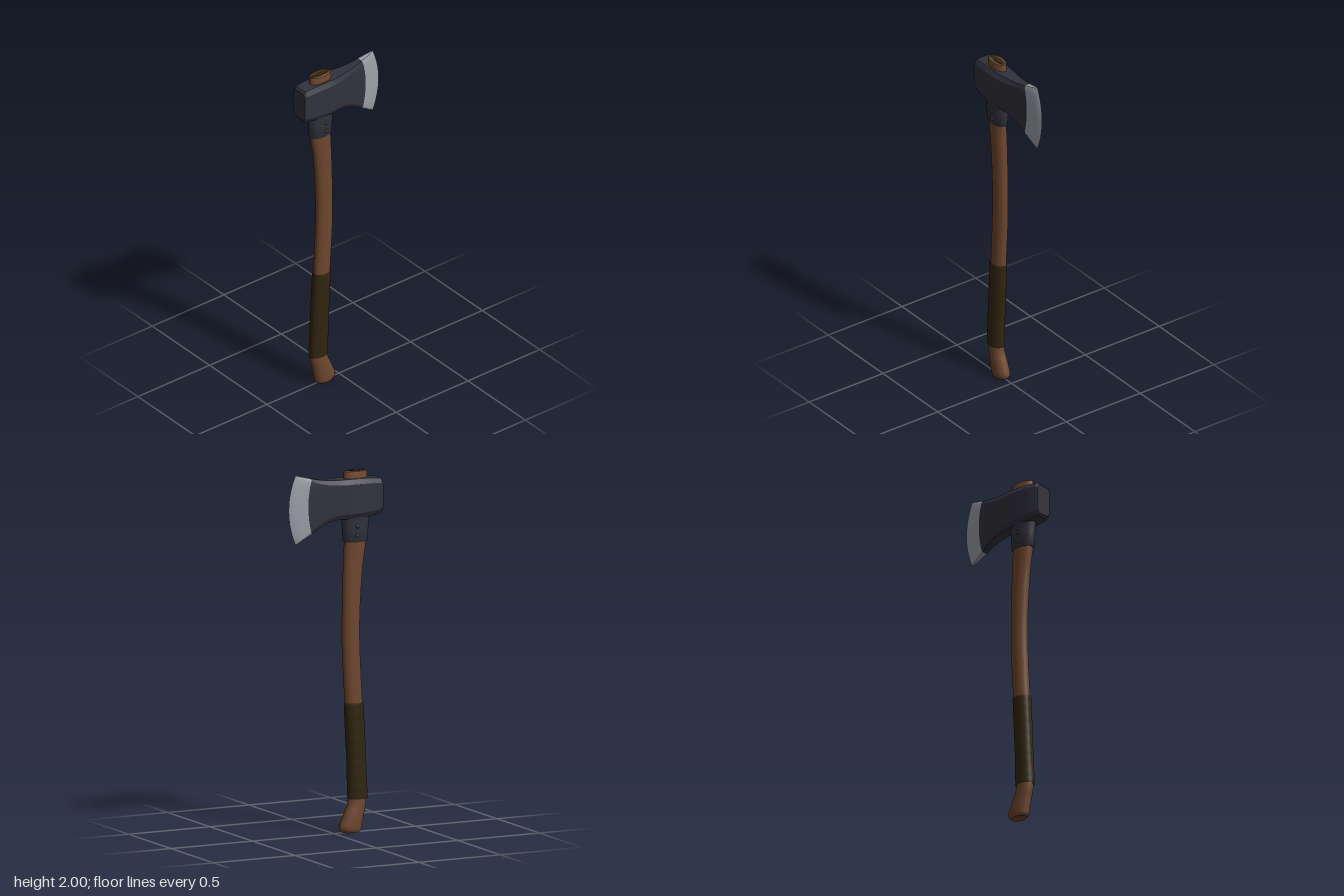
import * as THREE from 'three';
import { toCreasedNormals } from 'three/addons/utils/BufferGeometryUtils.js';

const mat = (name, color, side = THREE.FrontSide) => {
  const m = new THREE.MeshStandardMaterial({ color, side });
  m.name = name;
  return m;
};

// Skin a list of closed rings, optionally capping the ends.
function loft(rings, { start = true, end = true, crease = 0.6 } = {}) {
  const pos = [];
  const tri = (...pts) => pts.forEach((p) => pos.push(p.x, p.y, p.z));
  const n = rings[0].length;
  for (let i = 0; i < rings.length - 1; i++) {
    for (let j = 0; j < n; j++) {
      const k = (j + 1) % n;
      const a = rings[i][j], b = rings[i][k], c = rings[i + 1][k], d = rings[i + 1][j];
      tri(a, b, c);
      tri(a, c, d);
    }
  }
  const cap = (ring, flip) => {
    const mid = new THREE.Vector3();
    ring.forEach((p) => mid.addScaledVector(p, 1 / n));
    ring.forEach((p, j) => {
      const q = ring[(j + 1) % n];
      if (flip) tri(mid, q, p); else tri(mid, p, q);
    });
  };
  if (start) cap(rings[0], true);
  if (end) cap(rings[rings.length - 1], false);
  const g = new THREE.BufferGeometry();
  g.setAttribute('position', new THREE.Float32BufferAttribute(pos, 3));
  return toCreasedNormals(g, crease);
}

// Horizontal oval ring.
const oval = (y, zc, rz, rx, seg = 28) => Array.from({ length: seg }, (_, j) => {
  const a = (j / seg) * Math.PI * 2;
  return new THREE.Vector3(Math.cos(a) * rx, y, zc - Math.sin(a) * rz);
});

// Oval shaft through stations [y, back z, front z, half width].
function shaft(stations, steps, swell = () => 1) {
  const path = new THREE.CatmullRomCurve3(
    stations.map(([y, b, f]) => new THREE.Vector3(0, y, (b + f) / 2)), false, 'catmullrom');
  const size = new THREE.CatmullRomCurve3(
    stations.map(([, b, f, w]) => new THREE.Vector3(w, 0, (f - b) / 2)), false, 'catmullrom');
  const rings = [];
  for (let i = 0; i <= steps; i++) {
    const t = i / steps, p = path.getPoint(t), s = size.getPoint(t), k = swell(t);
    rings.push(oval(p.y, p.z, s.z * k, s.x * k));
  }
  return loft(rings);
}

// Chamfered head section; the bulge bows it forward into a curved bit.
function headRing([z, w, top, bot, bulge, ch]) {
  const mid = (top + bot) / 2, half = (top - bot) / 2, steps = 10;
  const pt = (x, y) => new THREE.Vector3(x, y, z - bulge * (1 - ((y - mid) / half) ** 2));
  const side = [pt(-w * 0.74, bot)];
  for (let i = 0; i <= steps; i++) {
    side.push(pt(-w, THREE.MathUtils.lerp(bot + ch, top - ch, i / steps)));
  }
  side.push(pt(-w * 0.74, top));
  const other = side.map((p) => new THREE.Vector3(-p.x, p.y, p.z)).reverse();
  return [...side, ...other];
}

export function createModel() {
  const wood = mat('wood', 0x6e472e);
  const steel = mat('dark steel', 0x31323c);
  const edge = mat('bare steel', 0x9da2aa);
  const wrap = mat('dark wrap', 0x31250f);

  const axe = new THREE.Group();
  axe.name = 'axe';
  const add = (name, geometry, material) => {
    const m = new THREE.Mesh(geometry, material);
    m.name = name;
    axe.add(m);
    return m;
  };

  // Curved handle with a flared knob
  add('handle', shaft([
    [0, 0.055, 0.15, 0.033], [0.012, 0.04, 0.162, 0.039], [0.035, 0.034, 0.167, 0.042],
    [0.1, 0.06, 0.18, 0.041], [0.19, 0.09, 0.195, 0.037], [0.4, 0.085, 0.187, 0.037],
    [0.7, 0.069, 0.172, 0.037], [1.0, 0.052, 0.157, 0.037], [1.2, 0.051, 0.156, 0.037],
    [1.45, 0.057, 0.172, 0.037], [1.62, 0.064, 0.195, 0.037], [1.8, 0.064, 0.2, 0.037],
  ], 66), wood);

  // Handle end showing above the head
  add('handleTop', loft([
    oval(1.9, 0.13, 0.07, 0.037), oval(1.985, 0.13, 0.07, 0.037),
    oval(1.996, 0.13, 0.067, 0.034), oval(1.998, 0.13, 0.063, 0.031),
  ]), wood);
  add('wedge', loft([oval(1.992, 0.13, 0.063, 0.017), oval(2.0, 0.13, 0.063, 0.017)]), wrap);

  // Wrapped grip with shallow bands
  add('grip', shaft([
    [0.188, 0.091, 0.199, 0.039], [0.2, 0.084, 0.202, 0.042], [0.36, 0.081, 0.195, 0.042],
    [0.53, 0.073, 0.187, 0.042], [0.7, 0.065, 0.178, 0.042], [0.712, 0.07, 0.173, 0.039],
  ], 104, (t) => 0.99 + 0.015 * Math.abs(Math.sin(t * Math.PI * 13))), wrap);

  // Collar below the head, with two rivets on each side
  add('collar', loft([
    oval(1.606, 0.129, 0.069, 0.039), oval(1.614, 0.129, 0.074, 0.043),
    oval(1.69, 0.13, 0.078, 0.045), oval(1.73, 0.131, 0.082, 0.047), oval(1.77, 0.131, 0.085, 0.05),
  ]), steel);
  for (const s of [-1, 1]) {
    for (const y of [1.643, 1.695]) {
      const rivet = add('rivet', new THREE.SphereGeometry(0.011, 14, 10), steel);
      rivet.position.set(s * 0.044, y, 0.122);
      rivet.scale.x = 0.6;
    }
  }

  // Head stations: z, half width, top, bottom, bulge, chamfer
  const body = [
    [0.277, 0.05, 1.938, 1.77, 0, 0.022], [0.266, 0.055, 1.951, 1.756, 0, 0.026],
    [0.2, 0.06, 1.957, 1.746, 0, 0.028], [0.13, 0.062, 1.958, 1.741, 0, 0.028],
    [0.07, 0.06, 1.958, 1.739, 0, 0.028], [0.035, 0.055, 1.957, 1.739, 0, 0.028],
    [0, 0.048, 1.957, 1.737, 0, 0.027], [-0.05, 0.039, 1.959, 1.724, 0.003, 0.024],
    [-0.1, 0.031, 1.965, 1.7, 0.01, 0.02], [-0.147, 0.023, 1.975, 1.669, 0.022, 0.015],
  ];
  const bit = [
    body[body.length - 1], [-0.18, 0.0175, 1.983, 1.649, 0.029, 0.011],
    [-0.21, 0.0115, 1.99, 1.63, 0.035, 0.008], [-0.228, 0.006, 1.995, 1.619, 0.039, 0.005],
    [-0.236, 0.0015, 1.997, 1.613, 0.041, 0.003],
  ];
  add('head', loft(body.map(headRing), { end: false, crease: 0.38 }), steel);
  add('cuttingEdge', loft(bit.map(headRing), { start: false, crease: 0.38 }), edge);

  return axe;
}
